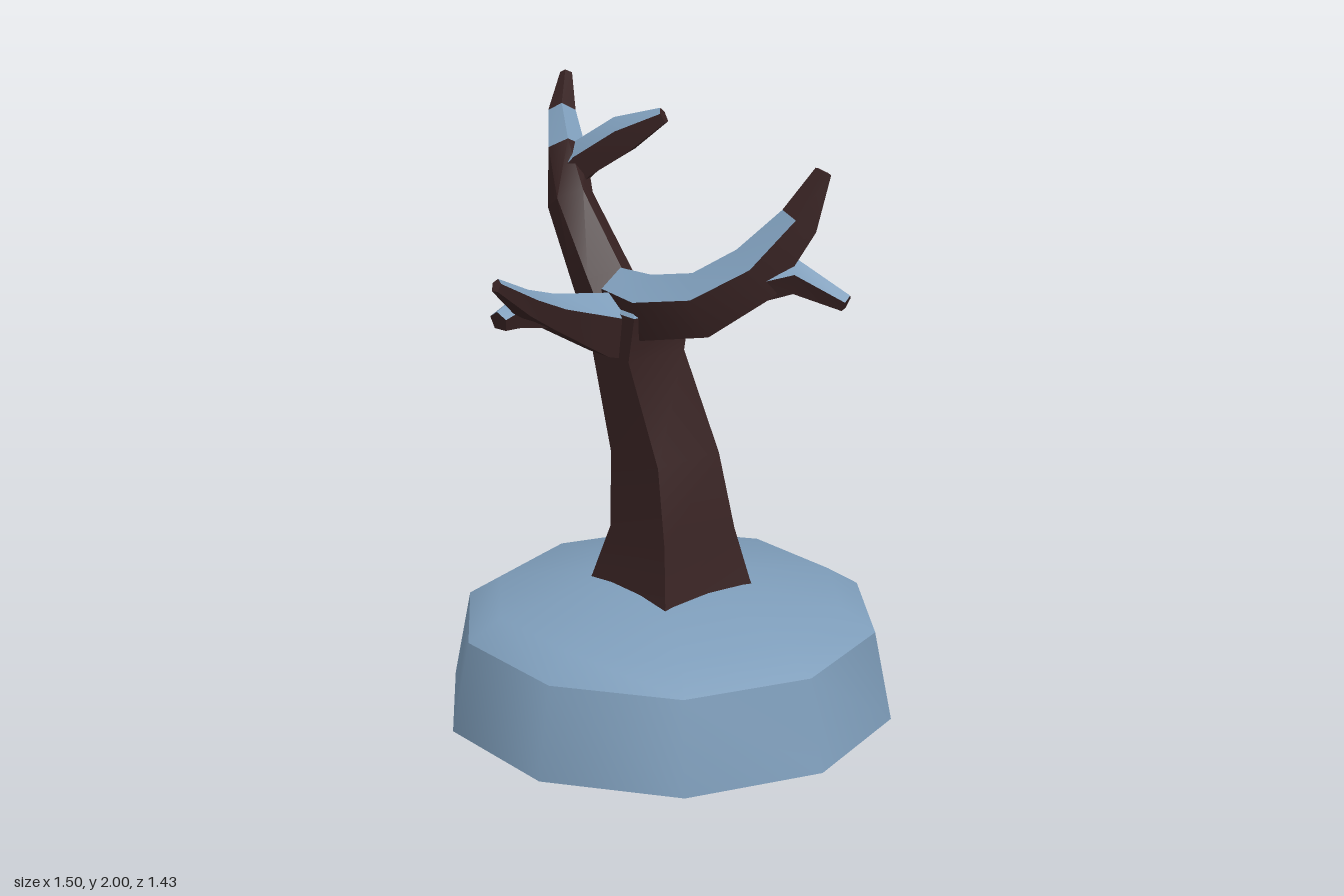
import * as THREE from 'three';
import { toCreasedNormals } from 'three/addons/utils/BufferGeometryUtils.js';

const bark = new THREE.MeshStandardMaterial({ color: 0x372222, side: THREE.DoubleSide });
bark.name = 'dark bark';
const snow = new THREE.MeshStandardMaterial({ color: 0x7e9dba, side: THREE.DoubleSide });
snow.name = 'blue snow';

// Mesh from a list of triangle corners, smooth along gentle bends, sharp at strong ones
function meshFrom(name, points, material) {
  const geometry = new THREE.BufferGeometry().setFromPoints(points);
  const mesh = new THREE.Mesh(toCreasedNormals(geometry, 0.75), material);
  mesh.name = name;
  return mesh;
}

// Skin closed rings; isSnow(row, side) picks the faces that carry snow
function loft(name, rings, isSnow, tip, tipIsSnow = false) {
  const barkPoints = [], snowPoints = [];
  const n = rings[0].length;
  for (let r = 0; r < rings.length - 1; r++) {
    for (let i = 0; i < n; i++) {
      const j = (i + 1) % n;
      const a = rings[r][i], b = rings[r][j], c = rings[r + 1][j], d = rings[r + 1][i];
      (isSnow(r, i) ? snowPoints : barkPoints).push(a, d, b, b, d, c);
    }
  }
  const last = rings[rings.length - 1];
  for (let i = 0; i < n; i++) {
    (tipIsSnow ? snowPoints : barkPoints).push(last[i], tip, last[(i + 1) % n]);
  }
  const group = new THREE.Group();
  group.name = name;
  group.add(meshFrom(name + 'Bark', barkPoints, bark));
  if (snowPoints.length) group.add(meshFrom(name + 'Snow', snowPoints, snow));
  return group;
}

// Tapered five-sided limb; rows are [x, y, z, half width, half height]
function limb(name, rows, snowFrom, snowTo) {
  const centres = rows.map(([x, y, z]) => new THREE.Vector3(x, y, z));
  const up = new THREE.Vector3(0, 1, 0);
  const section = [[1, 0.3], [0, 1], [-1, 0.3], [-0.7, -1], [0.7, -1]];
  const rings = rows.map(([, , , w, h], k) => {
    const along = centres[Math.min(k + 1, rows.length - 1)].clone()
      .sub(centres[Math.max(k - 1, 0)]).normalize();
    const side = along.clone().cross(up).normalize();
    const top = side.clone().cross(along);
    return section.map(([s, t]) => centres[k].clone()
      .addScaledVector(side, s * w).addScaledVector(top, t * h));
  });
  return loft(name, rings, (r, i) => i < 2 && r >= snowFrom && r < snowTo, centres[rows.length - 1]);
}

export function createModel() {
  const model = new THREE.Group();
  model.name = 'snowyTree';

  // Ten-sided snow mound, open underneath
  const profile = [[0.75, 0], [0.69, 0.3], [0.58, 0.37], [0.2, 0.43], [0, 0.435]]
    .map(([r, y]) => new THREE.Vector2(r, y));
  const moundGeometry = new THREE.LatheGeometry(profile, 10, Math.PI / 2);
  const mound = new THREE.Mesh(toCreasedNormals(moundGeometry, 0.7), snow);
  mound.name = 'snowMound';
  model.add(mound);

  // Leaning square trunk; rows are [y, x min, x max, z min, z max]
  const trunkRings = [
    [0.36, -0.11, 0.11, -0.11, 0.11],
    [0.36, -0.2, 0.22, -0.2, 0.2],
    [0.43, -0.175, 0.2, -0.18, 0.18],
    [0.61, -0.115, 0.16, -0.145, 0.15],
    [0.86, -0.13, 0.11, -0.12, 0.135],
    [1.18, -0.215, -0.03, -0.09, 0.14],
    [1.33, -0.29, 0.0, -0.09, 0.14],
  ].map(([y, x0, x1, z0, z1]) => [[x1, z0], [x1, z1], [x0, z1], [x0, z0]]
    .map(([x, z]) => new THREE.Vector3(x, y, z)));
  model.add(loft('trunk', trunkRings, () => false, new THREE.Vector3(-0.15, 1.42, 0.04), true));

  // Tall branch on the right with its side twig
  model.add(limb('tallBranch', [
    [-0.12, 1.2, 0.04, 0.11, 0.1],
    [-0.26, 1.4, 0.05, 0.1, 0.085],
    [-0.4, 1.64, 0.075, 0.07, 0.075],
    [-0.47, 1.78, 0.04, 0.06, 0.065],
    [-0.61, 1.87, -0.05, 0.045, 0.05],
    [-0.675, 1.985, -0.12, 0.02, 0.025],
  ], 3, 4));
  model.add(limb('tallBranchTwig', [
    [-0.45, 1.71, 0.05, 0.06, 0.06],
    [-0.41, 1.76, 0.02, 0.06, 0.06],
    [-0.29, 1.85, -0.05, 0.05, 0.06],
    [-0.17, 1.92, -0.12, 0.02, 0.025],
  ], 0, 3));

  // Spreading branch on the left with its side twig
  model.add(limb('sideBranch', [
    [-0.18, 1.37, 0.06, 0.08, 0.08],
    [-0.03, 1.35, 0.04, 0.1, 0.1],
    [0.16, 1.39, -0.01, 0.085, 0.1],
    [0.28, 1.5, -0.12, 0.075, 0.09],
    [0.36, 1.66, -0.22, 0.05, 0.06],
    [0.395, 1.81, -0.285, 0.025, 0.025],
  ], 0, 4));
  model.add(limb('sideBranchTwig', [
    [0.27, 1.45, -0.1, 0.05, 0.05],
    [0.38, 1.49, -0.2, 0.05, 0.05],
    [0.52, 1.42, -0.28, 0.03, 0.025],
  ], 0, 2));

  // Forward branch with a short stub
  model.add(limb('frontBranch', [
    [-0.13, 1.26, 0.0, 0.08, 0.11],
    [-0.13, 1.29, 0.15, 0.07, 0.1],
    [-0.13, 1.37, 0.37, 0.065, 0.055],
    [-0.085, 1.43, 0.5, 0.045, 0.04],
    [-0.03, 1.52, 0.645, 0.015, 0.02],
  ], 0, 4));
  model.add(limb('frontBranchStub', [
    [-0.13, 1.37, 0.37, 0.05, 0.045],
    [-0.18, 1.375, 0.47, 0.05, 0.045],
    [-0.17, 1.36, 0.54, 0.035, 0.03],
  ], 0, 2));

  return model;
}
